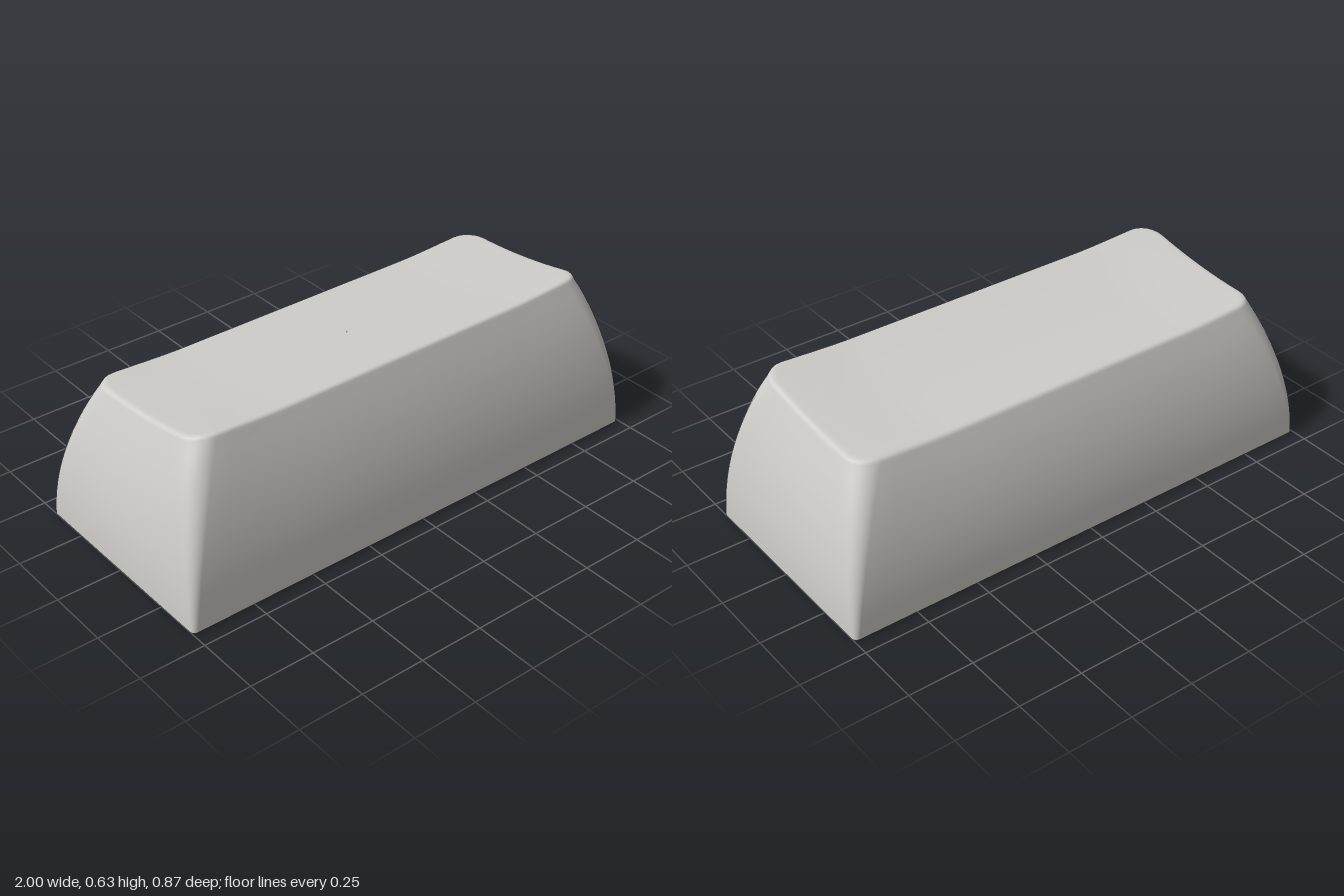
import * as THREE from 'three';

const HX = 1, HZ = 0.435, CEILING = 0.5;

// Dished top: tilts up to the front, hollow along z, lifted at both ends
function topY(x, z) {
  const cz = THREE.MathUtils.clamp(z, -0.31, 0.31);
  const lift = THREE.MathUtils.smoothstep(Math.abs(x), 0.5, 0.9) - 1;
  return 0.59 + 0.105 * cz + 0.21 * cz * cz + 0.015 * lift;
}

// Rounded rectangle outline as [x, z] pairs, running from +x towards +z
function outline(hx, hz, r) {
  const pts = [], ARC = 6, EDGE = [24, 12];
  const corners = [[1, 1], [-1, 1], [-1, -1], [1, -1]];
  corners.forEach(([sx, sz], k) => {
    const cx = sx * (hx - r), cz = sz * (hz - r);
    for (let i = 0; i <= ARC; i++) {
      const a = (k + i / ARC) * Math.PI / 2;
      pts.push([cx + r * Math.cos(a), cz + r * Math.sin(a)]);
    }
    // straight edge up to the next corner
    const a = (k + 1) * Math.PI / 2, [nx, nz] = corners[(k + 1) % 4];
    const from = pts[pts.length - 1];
    const to = [nx * (hx - r) + r * Math.cos(a), nz * (hz - r) + r * Math.sin(a)];
    const n = EDGE[k % 2];
    for (let i = 1; i < n; i++) {
      pts.push([0, 1].map(c => THREE.MathUtils.lerp(from[c], to[c], i / n)));
    }
  });
  return pts;
}

// Skin over closed rings of [x, y, z] points
function loft(rings, inward = false) {
  const n = rings[0].length, index = [];
  for (let i = 0; i < rings.length - 1; i++) {
    for (let j = 0; j < n; j++) {
      const a = i * n + j, b = i * n + (j + 1) % n, c = a + n, d = b + n;
      if (inward) index.push(a, b, c, b, d, c);
      else index.push(a, c, b, b, c, d);
    }
  }
  const g = new THREE.BufferGeometry();
  g.setAttribute('position', new THREE.Float32BufferAttribute(rings.flat(2), 3));
  g.setIndex(index);
  g.computeVertexNormals();
  return g;
}

const flatRing = (inset, r, y) =>
  outline(HX - inset, HZ - inset, r).map(([x, z]) => [x, y, z]);

function shellGeometry() {
  const rings = [];
  // bowed walls
  for (let i = 0; i <= 16; i++) {
    const t = 0.96 * i / 16, inset = 0.133 * t * t;
    rings.push(outline(HX - inset, HZ - inset, 0.02 + 0.07 * t)
      .map(([x, z]) => [x, t * topY(Math.min(Math.abs(x), 0.87), z), z]));
  }
  // rounded rim: inset and drop below the dish
  for (const [inset, drop] of [[0.126, 0.014], [0.130, 0.007], [0.136, 0.0025], [0.144, 0.0005], [0.155, 0]]) {
    rings.push(outline(HX - inset, HZ - inset, 0.088 - (inset - 0.126) * 0.6)
      .map(([x, z]) => [x, topY(x, z) - drop, z]));
  }
  // dish, shrinking to the middle
  const edge = outline(HX - 0.155, HZ - 0.155, 0.07);
  for (let i = 1; i <= 14; i++) {
    const s = Math.max(1 - i / 14, 0.0005);
    rings.push(edge.map(([x, z]) => [x * s, topY(x * s, z * s), z * s]));
  }
  return loft(rings);
}

// Round post with a cross-shaped socket
function socketGeometry(radius, depth) {
  const shape = new THREE.Shape().absarc(0, 0, radius, 0, Math.PI * 2);
  const L = 0.1, w = 0.03;
  const cross = [[L, w], [w, w], [w, L], [-w, L], [-w, w], [-L, w],
    [-L, -w], [-w, -w], [-w, -L], [w, -L], [w, -w], [L, -w]];
  shape.holes.push(new THREE.Path(cross.map(([x, y]) => new THREE.Vector2(x, y))));
  return new THREE.ExtrudeGeometry(shape, { depth, bevelEnabled: false, curveSegments: 24 })
    .rotateX(-Math.PI / 2);
}

export function createModel() {
  const model = new THREE.Group();
  model.name = 'keycap';
  const plastic = new THREE.MeshStandardMaterial({ color: 0xcfcdc9 });
  plastic.name = 'warm grey plastic';

  const add = (name, geometry, x = 0, y = 0, z = 0) => {
    const mesh = new THREE.Mesh(geometry, plastic);
    mesh.name = name;
    mesh.position.set(x, y, z);
    model.add(mesh);
  };

  add('outerShell', shellGeometry());

  // hollow underside
  const WALL = 0.055;
  add('bottomLip', loft([flatRing(0, 0.02, 0), flatRing(WALL, 0.008, 0)], true));
  const inner = [];
  for (let i = 0; i <= 8; i++) {
    const t = i / 8;
    inner.push(flatRing(WALL + 0.09 * t * t, 0.008, CEILING * t));
  }
  add('innerWalls', loft(inner, true));
  const ceilingEdge = inner[inner.length - 1];
  add('ceiling', loft([ceilingEdge, ceilingEdge.map(([x, y, z]) => [x * 0.0005, y, z * 0.0005])], true));

  // three stems joined by ribs
  const SPACING = 0.57, R = 0.13, DEPTH = 0.25;
  for (const k of [-1, 0, 1]) {
    add('stemSocket', socketGeometry(R, DEPTH), k * SPACING);
    const h = CEILING - DEPTH;
    add('stemBase', new THREE.CylinderGeometry(R, R, h, 48), k * SPACING, DEPTH + h / 2);
  }
  for (const s of [-1, 1]) {
    add('rib', new THREE.BoxGeometry(SPACING - 2 * R + 0.04, CEILING - 0.26, 0.08),
      s * SPACING / 2, (CEILING + 0.26) / 2);
  }
  return model;
}
